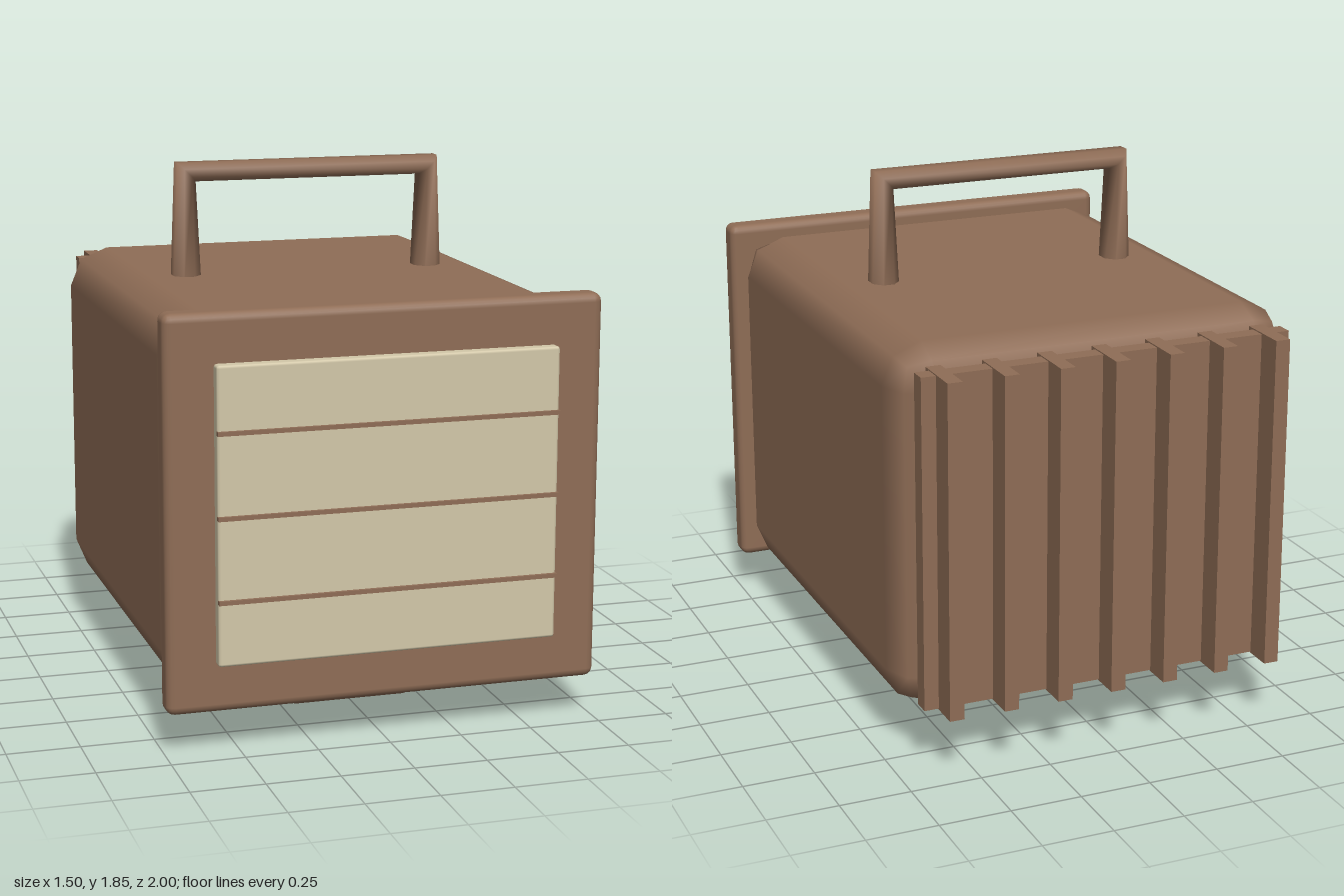
import * as THREE from 'three';
import { RoundedBoxGeometry } from 'three/addons/geometries/RoundedBoxGeometry.js';

const casing = new THREE.MeshStandardMaterial({ color: 0x8f6d56 });
casing.name = 'brown casing';
const cream = new THREE.MeshStandardMaterial({ color: 0xd3c8a9 });
cream.name = 'cream panel';

// Box given by its min and max on each axis; r > 0 rounds the edges
function block(name, material, [x0, x1], [y0, y1], [z0, z1], r = 0, segments = 2) {
  const size = [x1 - x0, y1 - y0, z1 - z0];
  const geometry = r > 0
    ? new RoundedBoxGeometry(...size, segments, r)
    : new THREE.BoxGeometry(...size);
  const mesh = new THREE.Mesh(geometry, material);
  mesh.name = name;
  mesh.position.set((x0 + x1) / 2, (y0 + y1) / 2, (z0 + z1) / 2);
  return mesh;
}

// Eight-sided tube through four rings: foot, mitred corner, mitred corner, foot
function handleGeometry() {
  const sides = 8, depth = 0.0575;
  const rings = [
    { x: -0.447, y: 1.40, u: [-0.051, 0] },
    { x: -0.447, y: 1.812, u: [-0.033, 0.033] },
    { x: 0.447, y: 1.812, u: [0.033, 0.033] },
    { x: 0.447, y: 1.40, u: [0.051, 0] },
  ];
  const positions = [], index = [];
  const scale = 1 / Math.cos(Math.PI / sides);
  rings.forEach(({ x, y, u }, i) => {
    for (let j = 0; j < sides; j++) {
      const t = ((j + 0.5) / sides) * Math.PI * 2;
      const c = Math.cos(t) * scale, s = Math.sin(t) * scale;
      positions.push(x + u[0] * c, y + u[1] * c, depth * s);
      if (i < rings.length - 1) {
        const a = i * sides + j, b = i * sides + ((j + 1) % sides);
        index.push(a, b, b + sides, a, b + sides, a + sides);
      }
    }
  });
  const geometry = new THREE.BufferGeometry();
  geometry.setAttribute('position', new THREE.Float32BufferAttribute(positions, 3));
  geometry.setIndex(index);
  geometry.computeVertexNormals();
  return geometry;
}

export function createModel() {
  const model = new THREE.Group();
  model.name = 'portable heater box';

  // Main housing and the frame on its front
  model.add(block('body', casing, [-0.723, 0.723], [0.17, 1.447], [-0.84, 0.88], 0.14, 1));
  model.add(block('frontFrame', casing, [-0.75, 0.75], [0.143, 1.475], [0.85, 0.95], 0.03));

  // Cream panel with three horizontal bars
  model.add(block('frontPanel', cream, [-0.585, 0.585], [0.31, 1.31], [0.93, 0.988], 0.01, 1));
  for (const y of [0.53, 0.81, 1.09]) {
    model.add(block('panelBar', casing, [-0.585, 0.585], [y - 0.007, y + 0.007], [0.98, 1.0]));
  }

  // Cooling fins on a back plate
  const fins = new THREE.Group();
  fins.name = 'coolingFins';
  fins.add(block('backPlate', casing, [-0.662, 0.662], [0.23, 1.388], [-0.9, -0.84]));
  for (let i = -3; i <= 3; i++) {
    const x = i * 0.195;
    fins.add(block('fin', casing, [x - 0.026, x + 0.026], [0.226, 1.392], [-1.0, -0.81]));
  }
  model.add(fins);

  // Foot below the body
  model.add(block('foot', casing, [-0.22, 0.22], [0, 0.2], [0.02, 0.56], 0.025));

  // Carrying handle
  const handle = new THREE.Mesh(handleGeometry(), casing);
  handle.name = 'carryingHandle';
  handle.position.z = 0.017;
  model.add(handle);

  return model;
}
